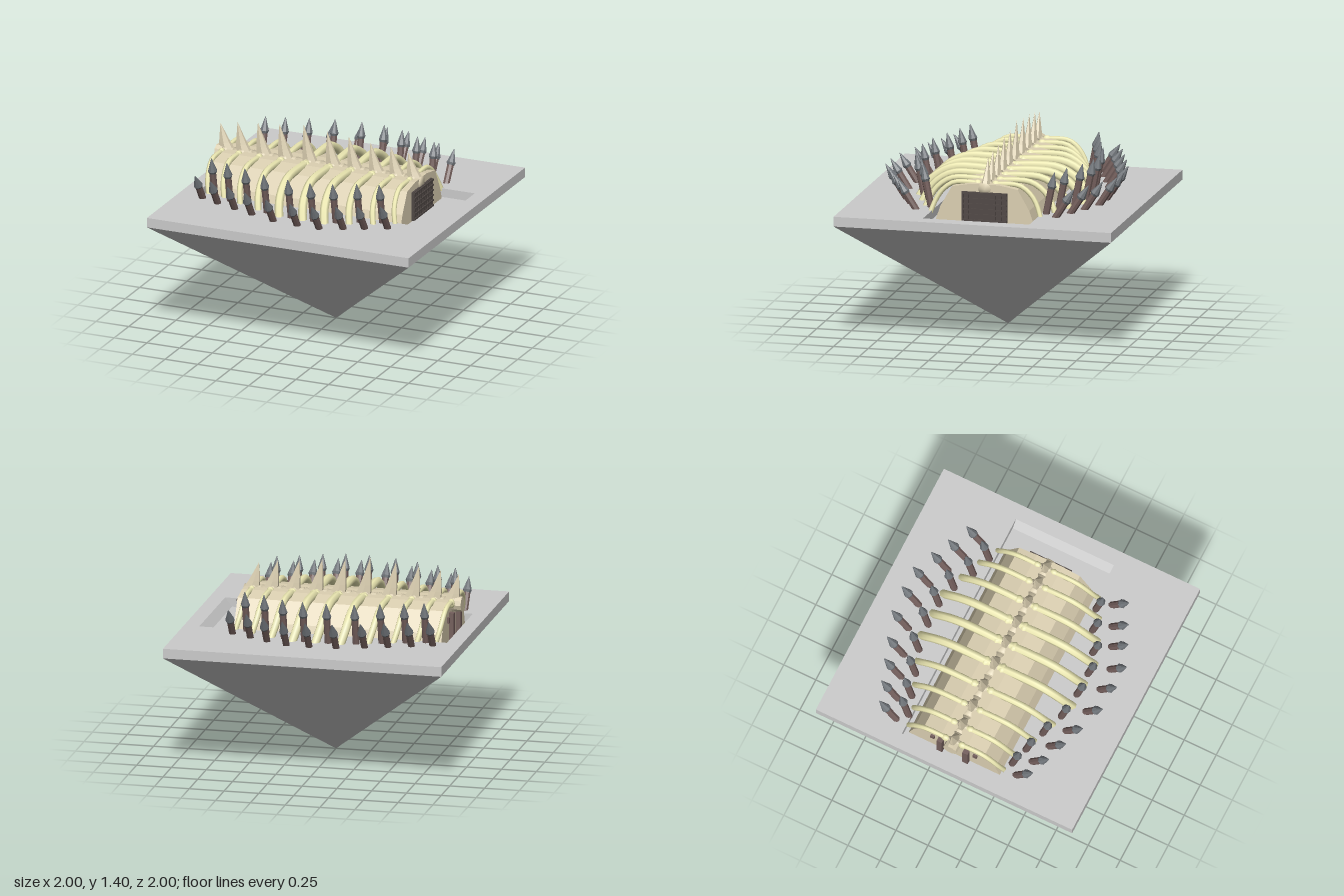
import * as THREE from 'three';

const mat = (color, flatShading) => new THREE.MeshStandardMaterial({ color, flatShading });
const stone = mat(0xcccccc, true), hide = mat(0xdcd0b2, true), bone = mat(0xdcd0b2, false), ribBone = mat(0xeeeab4, false);
const wood = mat(0x75605d, true), iron = mat(0x70757a, true), grate = mat(0x504845, true);

const GROUND = 0.93;
const FLOOR = 0.866;

const vec2 = (points) => points.map(([x, y]) => new THREE.Vector2(x, y));

function add(parent, name, geometry, material, x = 0, y = 0, z = 0) {
  const mesh = new THREE.Mesh(geometry, material);
  mesh.name = name;
  mesh.position.set(x, y, z);
  parent.add(mesh);
  return mesh;
}

function extrude(shape, depth) {
  return new THREE.ExtrudeGeometry(shape, { depth, bevelEnabled: false });
}

// Blade-like thorn with a near-vertical edge toward -x and a concave one toward +x
function thornGeometry(height) {
  const g = new THREE.ConeGeometry(1, height, 6, 4, true).translate(0, height / 2, 0);
  const p = g.attributes.position;
  for (let i = 0; i < p.count; i++) {
    const t = p.getY(i) / height;
    p.setX(i, p.getX(i) * 0.06 - 0.05 * Math.pow(Math.max(t, 0), 0.8));
    p.setZ(i, p.getZ(i) * 0.034);
  }
  g.computeVertexNormals();
  return g;
}

// Pointed stake between two points
function stake(parent, base, tip) {
  const group = new THREE.Group();
  group.name = 'stake';
  const dir = tip.clone().sub(base);
  const len = dir.length(), neck = len - 0.1;
  add(group, 'shaft', new THREE.CylinderGeometry(0.025, 0.025, neck + 0.03, 8, 1, true), wood, 0, neck / 2 - 0.015, 0);
  const head = new THREE.LatheGeometry(vec2([[0.024, neck - 0.02], [0.033, neck], [0.002, len]]), 8);
  add(group, 'point', head, iron);
  group.position.copy(base);
  group.quaternion.setFromUnitVectors(new THREE.Vector3(0, 1, 0), dir.normalize());
  parent.add(group);
}

export function createModel() {
  const model = new THREE.Group();

  // Inverted pyramid and the slab with its rectangular pit
  const pyramid = new THREE.ConeGeometry(Math.SQRT2, 0.86, 4, 1, true).rotateY(Math.PI / 4).rotateX(Math.PI);
  add(model, 'pyramid', pyramid, stone, 0, 0.43, 0);
  const slab = new THREE.Shape(vec2([[-1, -1], [1, -1], [1, 1], [-1, 1]]));
  slab.holes.push(new THREE.Path(vec2([[-0.89, -0.383], [-0.89, 0.383], [0.89, 0.383], [0.89, -0.383]])));
  add(model, 'slab', extrude(slab, 0.07).rotateX(-Math.PI / 2), stone, 0, 0.86, 0);
  add(model, 'pitFloor', new THREE.PlaneGeometry(1.78, 0.766).rotateX(-Math.PI / 2), stone, 0, FLOOR, 0);
  const ramp = new THREE.Shape(vec2([[0.84, FLOOR], [0.89, FLOOR], [0.89, GROUND]]));
  add(model, 'pitRamp', extrude(ramp, 0.764), stone, 0, 0, -0.382);

  // Faceted hall, its (z, y) outline extruded along x
  const half = [[0.355, FLOOR + 0.002], [0.32, 0.97], [0.237, 1.115], [0.1, 1.14]];
  const outline = new THREE.Shape(vec2([...half, ...half.map(([z, y]) => [-z, y]).reverse()]));
  add(model, 'hall', extrude(outline, 1.49).rotateY(Math.PI / 2), hide, -0.84);

  // Gate with a lattice at the +x end
  const gate = new THREE.Group();
  gate.name = 'gate';
  model.add(gate);
  add(gate, 'panel', new THREE.BoxGeometry(0.02, 0.21, 0.33), grate, 0.655, 0.98, 0);
  for (let i = 0; i < 9; i++) {
    add(gate, 'upright', new THREE.BoxGeometry(0.01, 0.206, 0.012), grate, 0.666, 0.98, -0.156 + i * 0.039);
  }
  for (let i = 0; i < 6; i++) {
    add(gate, 'crossbar', new THREE.BoxGeometry(0.01, 0.012, 0.326), grate, 0.67, 0.885 + i * 0.038, 0);
  }

  // Posts and brackets at the -x end
  for (const s of [-1, 1]) {
    add(model, 'endPost', new THREE.BoxGeometry(0.04, 0.2, 0.04), wood, -0.855, 0.97, s * 0.1);
    add(model, 'endBracket', new THREE.BoxGeometry(0.02, 0.04, 0.03), wood, -0.845, 1.03, s * 0.165);
  }

  // Spine: vertebrae, thorns and paired ribs
  const spineX = [-0.84, -0.71, -0.555, -0.39, -0.205, -0.025, 0.14, 0.305, 0.46, 0.595];
  const thornTop = [1.32, 1.345, 1.365, 1.38, 1.4, 1.375, 1.365, 1.345, 1.335, 1.315];
  const ribReach = [0.385, 0.41, 0.485, 0.55, 0.61, 0.61, 0.61, 0.55, 0.485, 0.41];
  const ribRadius = [0.018, 0.02, 0.021, 0.024, 0.031, 0.031, 0.031, 0.026, 0.021, 0.018];
  const profile = vec2([[0.002, -0.49], [0.046, -0.48], [0.036, -0.2], [0.056, -0.1],
    [0.056, 0.1], [0.036, 0.2], [0.046, 0.48], [0.002, 0.49]]);
  const vertebra = new THREE.LatheGeometry(profile, 10).rotateZ(-Math.PI / 2);
  const ribHead = new THREE.SphereGeometry(0.034, 8, 6);
  // Rib points: share of the reach, height, sweep along x
  const ribCurve = [[0.05, 1.125, 0], [0.3, 1.137, 0], [0.58, 1.13, 0], [0.76, 1.08, 0.005], [0.88, 1.01, 0.015], [1, 0.88, 0.048]];

  spineX.forEach((x, i) => {
    const length = i > 0 && i < 9 ? (spineX[i + 1] - spineX[i - 1]) / 2 : 0.13;
    add(model, 'vertebra', vertebra, bone, x, 1.107, 0).scale.x = length;
    add(model, 'thorn', thornGeometry(thornTop[i] - 1.135), hide, x + 0.008, 1.135, 0);
    for (const s of [-1, 1]) {
      const path = new THREE.CatmullRomCurve3(ribCurve.map(([f, y, sweep]) =>
        new THREE.Vector3(x - 0.005 + sweep, y, s * f * ribReach[i])));
      add(model, 'rib', new THREE.TubeGeometry(path, 14, ribRadius[i], 7), ribBone);
      add(model, 'ribHead', ribHead, ribBone, x - 0.005, 1.125, s * 0.065).scale.x = ribRadius[i] * 40;
    }
  });
  add(model, 'spineEnd', new THREE.CylinderGeometry(0.053, 0.053, 0.05, 10).rotateZ(Math.PI / 2), hide, -0.883, 1.107, 0);

  // Two rows of stakes on each long side, as (x, z of the tip)
  const outer = [[-0.81, 0.6], [-0.67, 0.655], [-0.515, 0.71], [-0.36, 0.765], [-0.17, 0.825],
    [0.02, 0.84], [0.185, 0.835], [0.34, 0.77], [0.475, 0.705], [0.62, 0.635]];
  const inner = [[-0.745, 0.465], [-0.61, 0.505], [-0.45, 0.555], [-0.28, 0.615], [-0.085, 0.64],
    [0.085, 0.64], [0.24, 0.6], [0.39, 0.525], [0.54, 0.475]];
  for (const [row, lean, top] of [[outer, 0.13, 1.135], [inner, 0.06, 1.23]]) {
    for (const [x, z] of row) {
      for (const s of [-1, 1]) {
        stake(model, new THREE.Vector3(x, GROUND, s * (z - lean)), new THREE.Vector3(x, top, s * z));
      }
    }
  }

  return model;
}
